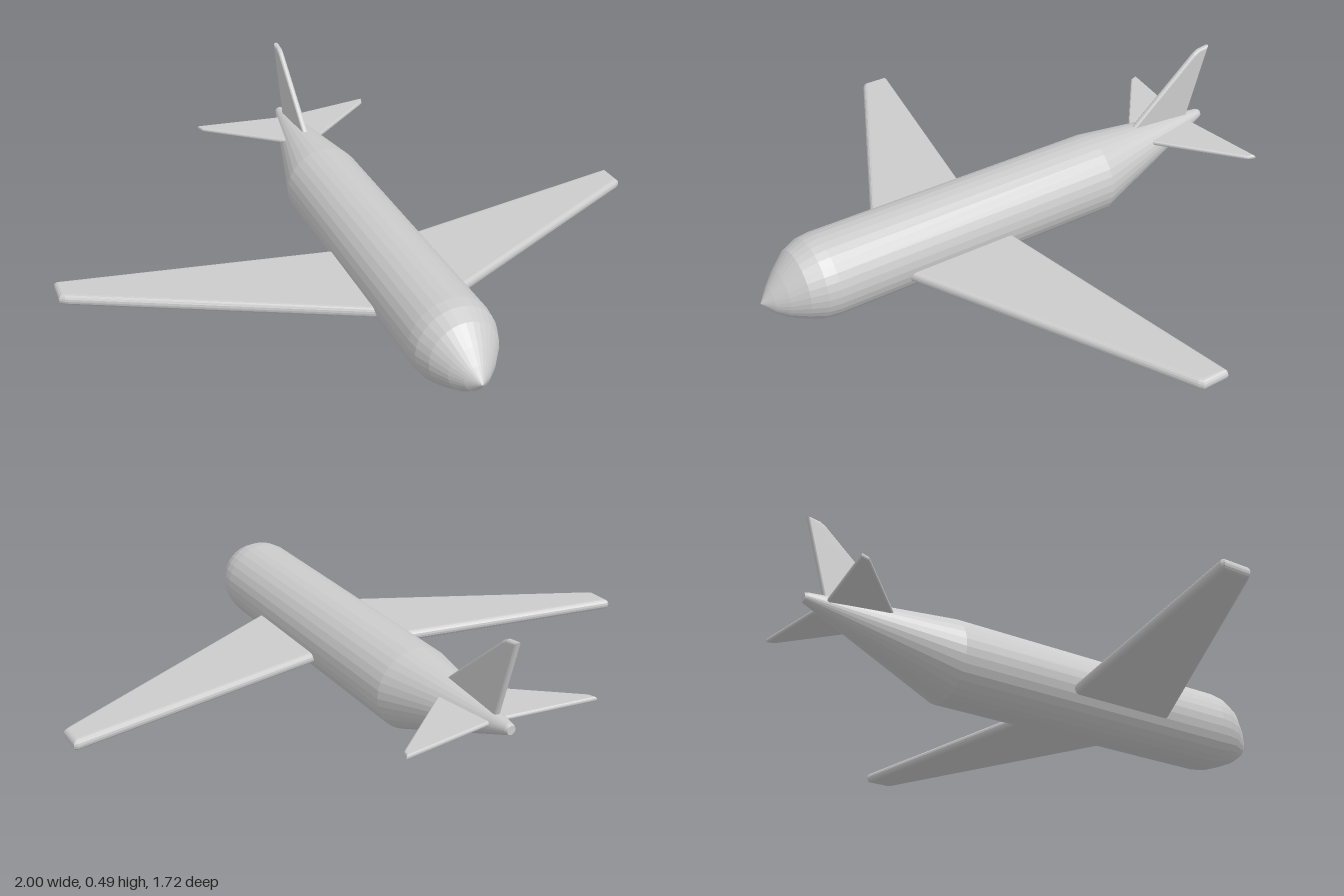
import * as THREE from 'three';

const grey = new THREE.MeshStandardMaterial({ color: 0xcccccc, flatShading: true, side: THREE.DoubleSide });

// Plate with rounded edges, centred on its thickness
function plate(points, thickness) {
  const r = thickness * 0.48;
  const depth = thickness - 2 * r;
  const shape = new THREE.Shape(points.map(([a, b]) => new THREE.Vector2(a, b)));
  const geometry = new THREE.ExtrudeGeometry(shape, {
    depth, bevelEnabled: true, bevelThickness: r, bevelSize: r, bevelOffset: -r, bevelSegments: 4,
  });
  return geometry.translate(0, 0, -depth / 2);
}

function addMesh(group, name, geometry) {
  const mesh = new THREE.Mesh(geometry, grey);
  mesh.name = name;
  group.add(mesh);
  return mesh;
}

// Round body: each station is [z, radius, height of centre]
function fuselageGeometry() {
  const stations = [
    [-0.847, 0, 0.217], [-0.847, 0.014, 0.217], [-0.838, 0.018, 0.217],
    [-0.37, 0.136, 0.136], [0.65, 0.136, 0.136], [0.69, 0.131, 0.136],
    [0.74, 0.111, 0.134], [0.79, 0.075, 0.12], [0.825, 0.042, 0.112], [0.858, 0, 0.11],
  ];
  const geometry = new THREE.LatheGeometry(stations.map(([z, r]) => new THREE.Vector2(r, z)), 32);
  geometry.rotateX(Math.PI / 2);
  const pos = geometry.attributes.position;
  for (let i = 0; i < pos.count; i++) {
    pos.setY(i, pos.getY(i) + stations[i % stations.length][2]);
  }
  return geometry;
}

export function createModel() {
  const group = new THREE.Group();
  group.name = 'airplane';

  addMesh(group, 'fuselage', fuselageGeometry());

  // Outlines as [x, z], starting inside the body
  const wing = [[0, 0.475], [0.985, -0.018], [1, -0.03], [1, -0.118], [0.99, -0.124], [0, 0.054]];
  const stabilizer = [[0, -0.53], [0.307, -0.785], [0.318, -0.795], [0.327, -0.823], [0, -0.78]];
  for (const [side, s] of [['left', 1], ['right', -1]]) {
    const mirror = (points) => points.map(([x, z]) => [s * x, z]);
    addMesh(group, side + 'Wing', plate(mirror(wing), 0.036).rotateX(Math.PI / 2)).position.y = 0.101;
    addMesh(group, side + 'Stabilizer', plate(mirror(stabilizer), 0.015).rotateX(Math.PI / 2)).position.y = 0.215;
  }

  // Upright fin, outline as [z, y]
  const fin = [[-0.51, 0.22], [-0.797, 0.472], [-0.815, 0.482], [-0.859, 0.488], [-0.775, 0.2]];
  addMesh(group, 'tailFin', plate(fin, 0.02).rotateY(-Math.PI / 2));

  return group;
}
